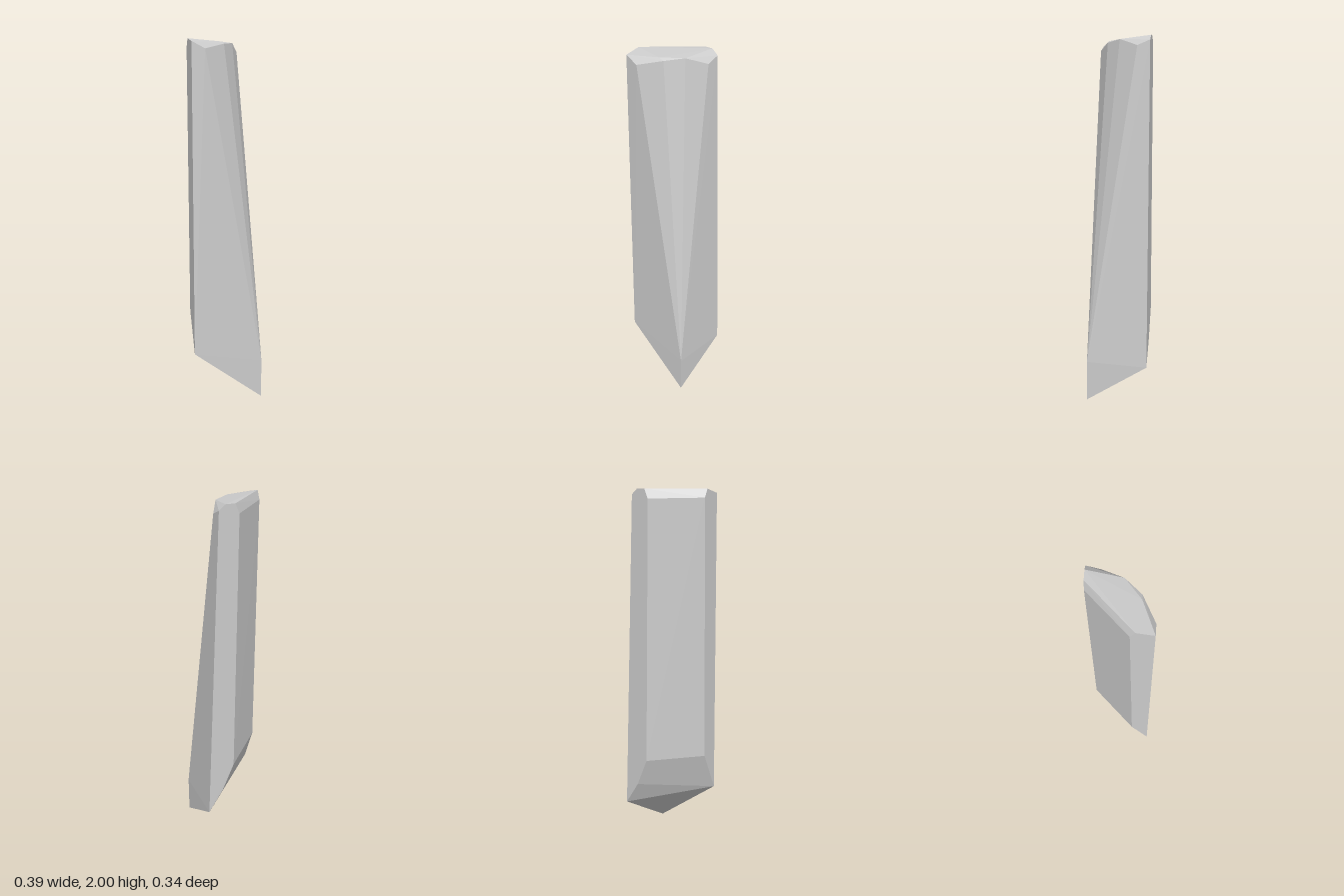
import * as THREE from 'three';
import { ConvexGeometry } from 'three/addons/geometries/ConvexGeometry.js';

export function createModel() {
  const group = new THREE.Group();
  group.name = 'stoneShard';

  const back = -0.168, front = 0.168, left = 0.196, right = -0.196;

  // Pointed foot: sharp corner, slanted underside and its steeper bevel
  const foot = [
    [left, 0, front], [left, 0.22, front],
    [left, 0.21, back],
    [right, 0.3, front],
    [0.109, 0.346, back],
    [0.04, 0.507, back], [right, 0.523, 0.068],
  ];

  // Shoulder: ring where the long side facets end
  const shoulder = [
    [0.015, 1.95, back], [right, 1.955, 0.04],
    [right, 1.98, 0.148], [-0.125, 1.945, 0.15],
    [-0.005, 1.975, 0.085], [0.065, 1.985, 0.005],
    [0.123, 1.945, -0.1], [0.123, 1.972, back],
  ];

  // Cap: nearly flat top inside the chipped rim
  const cap = [
    [right, 2, 0.062], [0.037, 2, back], [0.088, 2, back],
    [-0.035, 1.987, 0.085],
  ];

  const points = [...foot, ...shoulder, ...cap].map((p) => new THREE.Vector3(...p));
  const shard = new THREE.Mesh(
    new ConvexGeometry(points),
    new THREE.MeshStandardMaterial({ color: 0xcccccc, flatShading: true })
  );
  shard.name = 'shard';
  group.add(shard);
  return group;
}
